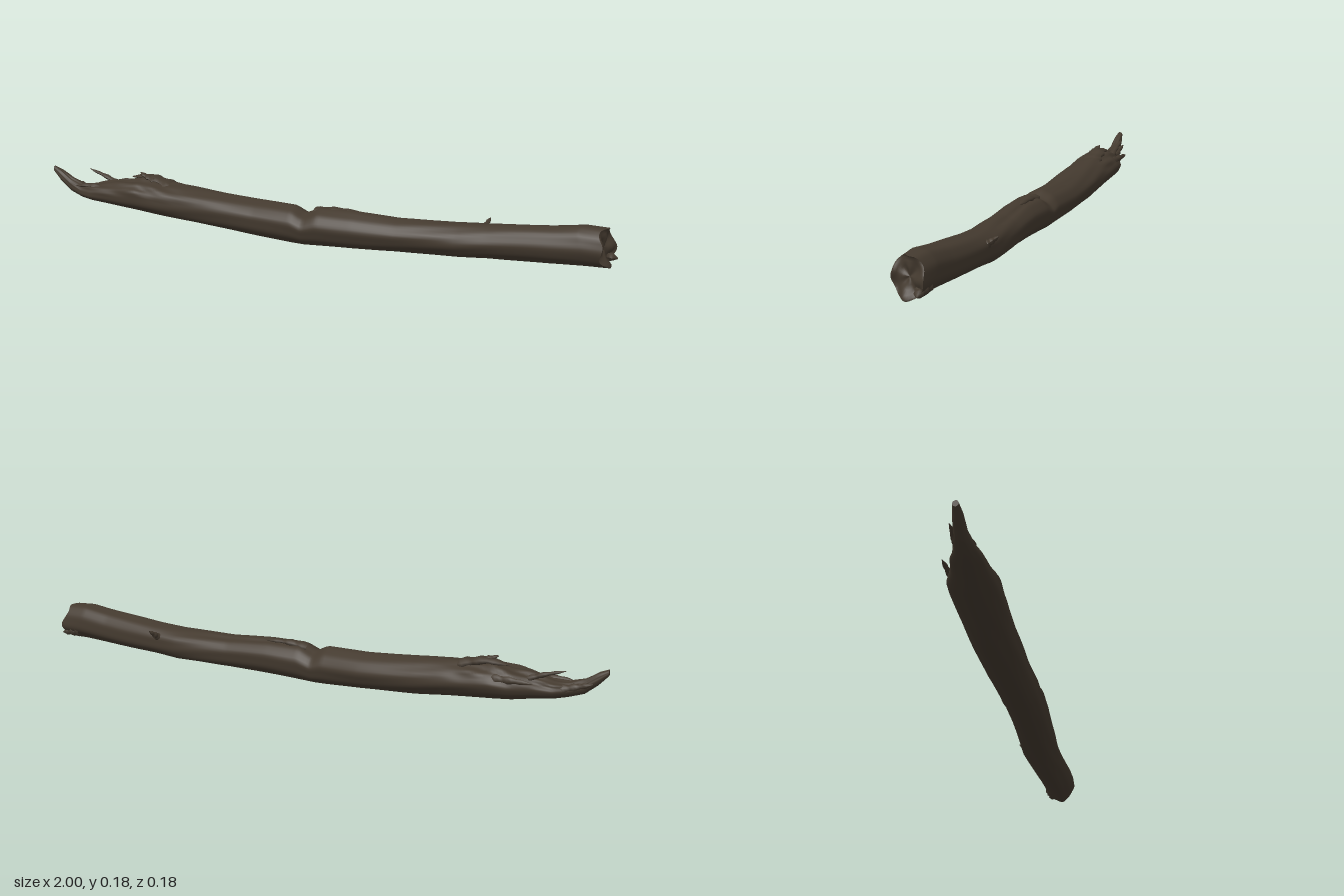
import * as THREE from 'three';

// Stations along the log: x, bottom y, top y, back z, front z
const STATIONS = [
  [-1.0, .168, .188, -.010, .008], [-.97, .135, .176, -.016, .016],
  [-.93, .102, .150, -.020, .020], [-.88, .085, .133, -.030, .034],
  [-.84, .077, .136, -.050, .045], [-.78, .070, .148, -.060, .050],
  [-.71, .060, .160, -.086, .058], [-.65, .054, .172, -.090, .062],
  [-.55, .045, .162, -.087, .065], [-.40, .031, .150, -.082, .066],
  [-.20, .016, .136, -.070, .071], [-.06, .008, .132, -.056, .081],
  [-.02, .007, .112, -.052, .083], [.03, .008, .135, -.050, .084],
  [.15, .012, .135, -.050, .083], [.30, .018, .125, -.053, .078],
  [.50, .018, .129, -.060, .070], [.60, .027, .135, -.056, .070],
  [.80, .034, .154, -.042, .075], [.90, .039, .166, -.040, .077],
  [.97, .040, .162, -.036, .074],
];
const SIDES = 48;

// Linear interpolation with eased joints between stations
function section(x) {
  let i = 0;
  while (i < STATIONS.length - 2 && STATIONS[i + 1][0] < x) i++;
  const a = STATIONS[i], b = STATIONS[i + 1];
  const t = THREE.MathUtils.clamp((x - a[0]) / (b[0] - a[0]), 0, 1);
  return [1, 2, 3, 4].map((k) => THREE.MathUtils.lerp(a[k], b[k], t));
}

// Grooved bark, rougher on the torn upper left
function roughness(x, a) {
  const up = Math.max(0, Math.sin(a));
  const bark = .018 * Math.sin(5 * a + 3 * x) + .014 * Math.sin(9 * a - 5 * x + 2 * Math.sin(7 * x))
    + .012 * Math.sin(17 * x + 2 * a);
  const torn = THREE.MathUtils.smoothstep(-x, .45, .65) * up;
  const shred = torn * (.07 * Math.sin(47 * x + 4 * a) + .06 * Math.sin(11 * a + 23 * x) - .03);
  const crack = -.10 * up * Math.exp(-(((x - .2 + .03 * Math.sin(30 * x)) / .16) ** 2))
    * Math.exp(-(((a - 1.9 - .3 * x) / .1) ** 2));
  return 1 + bark + shred + crack;
}

function logPoint(x, a, shrink = 1) {
  const [y0, y1, z0, z1] = section(x);
  const r = shrink * roughness(x, a);
  const c = Math.cos(a), s = Math.sin(a);
  const y = (y0 + y1) / 2 + (y1 - y0) / 2 * s * r;
  const z = (z0 + z1) / 2 + (z1 - z0) / 2 * c * r;
  // The sawn end slants back towards the front and top
  const end = THREE.MathUtils.smoothstep(x, .8, .97);
  const slant = end * (-.26 * (z - .02) - .12 * (y - .1) + .008 * Math.sin(4 * a + 1) * shrink);
  return [x + slant, Math.max(y, 0.002), z];
}

// Joins equal rings of points into a skin
function skin(rings) {
  const n = rings[0].length;
  const index = [];
  for (let i = 0; i < rings.length - 1; i++) {
    for (let j = 0; j < n; j++) {
      const a = i * n + j, b = i * n + (j + 1) % n;
      index.push(a, a + n, b, b, a + n, b + n);
    }
  }
  const g = new THREE.BufferGeometry();
  g.setAttribute('position', new THREE.Float32BufferAttribute(rings.flat(2), 3));
  g.setIndex(index);
  g.computeVertexNormals();
  return g;
}

const ring = (fn) => Array.from({ length: SIDES }, (_, j) => fn(j / SIDES * Math.PI * 2));

export function createModel() {
  const group = new THREE.Group();
  const wood = new THREE.MeshStandardMaterial({ color: 0x443a2f, side: THREE.DoubleSide });
  wood.name = 'dark weathered bark';
  const add = (name, geometry) => {
    const mesh = new THREE.Mesh(geometry, wood);
    mesh.name = name;
    group.add(mesh);
    return mesh;
  };

  // Trunk
  const rings = [];
  for (let i = 0; i <= 200; i++) {
    const x = -1 + 1.97 * i / 200;
    rings.push(ring((a) => logPoint(x, a)));
  }
  add('trunk', skin(rings));

  // Uneven broken face at the right, and the closed tip at the left
  const face = [1, .9, .75, .55, .35, .15, 0].map((s) => ring((a) => {
    const p = logPoint(.97, a, s);
    p[0] += s < 1 ? .006 * Math.sin(3 * a + 7 * s) * s - .012 * (1 - s) : 0;
    return p;
  }));
  add('brokenEnd', skin(face));
  add('tornTip', skin([0, .5, 1].map((s) => ring((a) => logPoint(-1, a, s)))));

  // Jagged pieces: flattened tapering slivers along a short path
  const sliver = (name, points, width, height) => {
    const curve = new THREE.CatmullRomCurve3(points.map((p) => new THREE.Vector3(...p)));
    const g = new THREE.TubeGeometry(curve, 10, 1, 7, false);
    const pos = g.attributes.position;
    const v = new THREE.Vector3();
    for (let i = 0; i < pos.count; i++) {
      const t = Math.floor(i / 8) / 10;
      const c = curve.getPointAt(t);
      const k = (1 - t) ** .6 * (1 + .2 * Math.sin(t * 19)) + .08;
      v.fromBufferAttribute(pos, i).sub(c);
      pos.setXYZ(i, c.x + v.x * k * height, c.y + v.y * k * height, c.z + v.z * k * width);
    }
    g.computeVertexNormals();
    add(name, g);
  };
  sliver('raisedSplinter', [[-.76, .135, -.035], [-.81, .156, -.038], [-.88, .178, -.042]], .012, .009);
  sliver('backSplinter', [[-.66, .13, -.068], [-.73, .136, -.08], [-.79, .135, -.083]], .012, .014);
  sliver('topShred', [[-.54, .15, -.02], [-.62, .172, -.025], [-.70, .168, -.03]], .034, .015);
  sliver('topFlake', [[-.60, .165, -.01], [-.64, .180, -.012], [-.66, .190, -.016]], .02, .012);
  sliver('frontShred', [[-.78, .12, .015], [-.84, .132, .02], [-.90, .128, .022]], .014, .013);
  sliver('tipShred', [[-.86, .11, -.02], [-.91, .125, -.018], [-.96, .142, -.026]], .015, .014);
  sliver('lipShred', [[.93, .075, -.01], [.97, .065, -.015], [1.0, .058, -.02]], .024, .022);

  // Ridge of bark beside the notch, and the twig stub behind
  sliver('notchRidge', [[.01, .122, .01], [.08, .131, .008], [.17, .130, .002]], .022, .011);
  sliver('twigStub', [[.57, .10, -.045], [.575, .118, -.07], [.58, .13, -.086]], .011, .012);

  return group;
}
